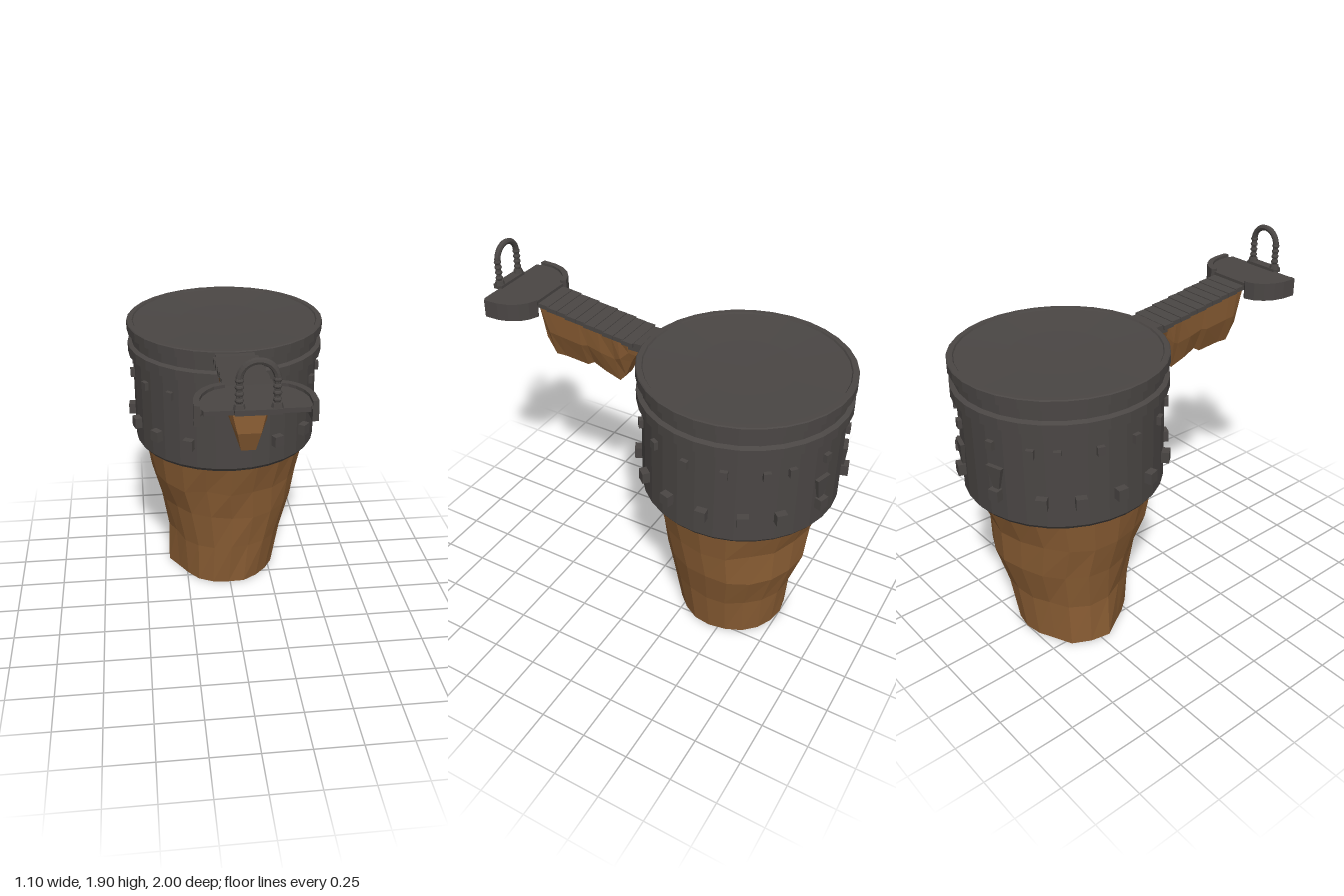
import * as THREE from 'three';

const metal = new THREE.MeshStandardMaterial({ color: 0x4a4644, flatShading: true, side: THREE.DoubleSide });
const wood = new THREE.MeshStandardMaterial({ color: 0x8b5e34, flatShading: true, side: THREE.DoubleSide });
const CZ = -0.457; // z of the drum axis
const rad = THREE.MathUtils.degToRad;

let seed = 7;
const rand = () => ((seed = (seed * 16807) % 2147483647) / 2147483647) - 0.5;

function add(parent, name, geometry, material, x = 0, y = 0, z = 0) {
  const mesh = new THREE.Mesh(geometry, material);
  mesh.name = name;
  mesh.position.set(x, y, z);
  parent.add(mesh);
  return mesh;
}

// Skin a list of closed rings with the same number of points
function loft(rings, capped) {
  const n = rings[0].length, index = [];
  for (let i = 0; i < rings.length - 1; i++) {
    for (let j = 0; j < n; j++) {
      const a = i * n + j, b = i * n + (j + 1) % n;
      index.push(a, b, b + n, a, b + n, a + n);
    }
  }
  if (capped) {
    const e = (rings.length - 1) * n;
    for (let j = 1; j < n - 1; j++) index.push(0, j + 1, j, e, e + j, e + j + 1);
  }
  const g = new THREE.BufferGeometry();
  g.setAttribute('position', new THREE.Float32BufferAttribute(rings.flat(2), 3));
  g.setIndex(index);
  g.computeVertexNormals();
  return g;
}

// Outline in x/z, extruded downwards from y = 0
function slab(points, depth) {
  const shape = new THREE.Shape(points.map(([x, z]) => new THREE.Vector2(x, z)));
  return new THREE.ExtrudeGeometry(shape, { depth, bevelEnabled: false }).rotateX(Math.PI / 2);
}

// Rough hewn, hollow trunk: [y, xMin, xMax, zMin, zMax, bulge]
function trunk() {
  const levels = [
    [0, -0.305, 0.285, -0.75, -0.15, 0.045],
    [0.26, -0.32, 0.33, -0.78, -0.12, 0.025],
    [0.48, -0.38, 0.395, -0.85, -0.09, 0],
    [0.67, -0.44, 0.42, -0.865, -0.045, 0],
    [0.88, -0.47, 0.47, -0.93, 0.015, 0],
  ];
  const sides = 20;
  return loft(levels.map(([y, x0, x1, z0, z1, bulge], i) =>
    Array.from({ length: sides }, (_, j) => {
      const a = (j / sides) * Math.PI * 2;
      const deg = (j / sides) * 360;
      const out = 1 + (deg > 230 && deg < 285 ? bulge / 0.3 : 0) + (i < 4 ? rand() * 0.04 : 0);
      return [(x0 + x1) / 2 + Math.sin(a) * out * (x1 - x0) / 2, y + (i % 4 ? rand() * 0.03 : 0),
        (z0 + z1) / 2 + Math.cos(a) * out * (z1 - z0) / 2];
    })), false);
}

// Split wooden beam under the arm: [z, top, bottom, bottom half width]
function beam() {
  const sections = [
    [0.14, 1.555, 1.47, 0.06], [0.17, 1.56, 1.42, 0.05], [0.22, 1.57, 1.31, 0.03], [0.26, 1.575, 1.265, 0.025],
    [0.34, 1.585, 1.3, 0.035], [0.42, 1.595, 1.33, 0.03], [0.46, 1.6, 1.305, 0.03], [0.6, 1.62, 1.315, 0.03],
    [0.66, 1.628, 1.315, 0.035], [0.7, 1.635, 1.42, 0.055],
  ];
  return loft(sections.map(([z, top, low, w]) => {
    const mid = low + (top - low) * 0.5, m = 0.08 + rand() * 0.015;
    return [[-w, low, z], [w, low, z], [m, mid, z], [0.105, top, z], [-0.105, top, z], [-m, mid, z]];
  }), true);
}

function drum() {
  const group = new THREE.Group();
  group.name = 'drum';
  group.position.z = CZ;
  const lathe = (pts) => new THREE.LatheGeometry(pts.map(([r, y]) => new THREE.Vector2(r, y)), 32);
  add(group, 'drumWall', lathe([[0.465, 0.865], [0.5, 0.87], [0.515, 0.89], [0.515, 1.395], [0.541, 1.4],
    [0.541, 1.455], [0.518, 1.465], [0.518, 1.53]]), metal);
  add(group, 'lid', lathe([[0.515, 1.525], [0.543, 1.528], [0.543, 1.575], [0.538, 1.58], [0.512, 1.58],
    [0.507, 1.572], [0.25, 1.562], [0, 1.558]]), metal);

  // Two rows of studs, mirrored left and right
  const rows = [
    { name: 'upperStud', y: 1.29, size: [0.038, 0.045, 0.04], r: 0.515, at: [16.5, 39.5, 61, 84, 106, 128, 142, 165] },
    { name: 'lowerStud', y: 1.03, size: [0.055, 0.06, 0.06], r: 0.522, at: [27, 50, 73, 95, 117, 137, 163] },
  ];
  // Tapered hook plate above the rear lower studs
  const hook = loft([[1.05, 0.014, 0.525], [1.18, 0.045, 0.535]].map(([y, w, r]) =>
    [[-w, y, 0.49], [-w, y, r], [w, y, r], [w, y, 0.49]]), true);
  for (const side of [-1, 1]) {
    for (const row of rows) {
      for (const deg of row.at) {
        const a = rad(deg) * side;
        const stud = add(group, row.name, new THREE.BoxGeometry(...row.size), metal,
          Math.sin(a) * row.r, row.y, Math.cos(a) * row.r);
        stud.rotation.y = a;
      }
    }
    add(group, 'hookPlate', hook, metal).rotation.y = rad(163) * side;
  }
  return group;
}

function arm() {
  const group = new THREE.Group();
  group.name = 'arm';
  add(group, 'beam', beam(), wood);
  add(group, 'neck', new THREE.BoxGeometry(0.2, 0.045, 0.16), metal, 0, 1.547, 0.08);

  // Overlapping slats climbing towards the end plate
  const count = 10, step = 0.057;
  for (let i = 0; i < count; i++) {
    const t = (i + 0.5) / count;
    const slat = add(group, 'slat', new THREE.BoxGeometry(0.23 - (i % 2) * 0.008, 0.024, step + 0.008), metal,
      0, 1.558 + t * 0.078, 0.13 + t * count * step);
    slat.rotation.x = -0.06;
  }

  // End plate with a raised, curved rim on each shoulder
  const outer = [[0.115, 0.70], [0.13, 0.69], [0.18, 0.71], [0.22, 0.745], [0.25, 0.795], [0.265, 0.85], [0.268, 0.93]];
  const inner = [[0.24, 0.935], [0.238, 0.855], [0.222, 0.805], [0.195, 0.765], [0.165, 0.737], [0.115, 0.72]];
  const flip = (pts) => pts.map(([x, z]) => [-x, z]).reverse();
  const half = [...outer, [0.235, 0.935], [0.228, 0.96]];
  add(group, 'endPlate', slab([...half, ...flip(half)], 0.022), metal, 0, 1.662, 0);
  const rim = [...outer, ...inner];
  add(group, 'leftRim', slab(rim, 0.096), metal, 0, 1.677, 0);
  add(group, 'rightRim', slab(flip(rim), 0.096), metal, 0, 1.677, 0);

  // Beaded loop standing on the tip
  const z = 0.972, legX = 0.08, archY = 1.805;
  add(group, 'loopBase', new THREE.BoxGeometry(0.2, 0.025, 0.055), metal, 0, 1.665, z);
  add(group, 'loopArch', new THREE.TorusGeometry(legX, 0.016, 8, 20, Math.PI), metal, 0, archY, z);
  for (const side of [-1, 1]) {
    add(group, 'loopLeg', new THREE.CylinderGeometry(0.014, 0.014, 0.14, 8), metal, side * legX, 1.74, z);
    add(group, 'loopFoot', new THREE.CylinderGeometry(0.022, 0.028, 0.025, 8), metal, side * legX, 1.685, z);
    for (let i = 0; i < 4; i++) {
      const bead = add(group, 'loopBead', new THREE.SphereGeometry(0.02, 8, 6), metal, side * legX, 1.713 + i * 0.03, z);
      bead.scale.y = 0.75;
    }
  }
  return group;
}

export function createModel() {
  const model = new THREE.Group();
  model.name = 'lidded tankard';
  add(model, 'trunk', trunk(), wood);
  model.add(drum(), arm());
  return model;
}
